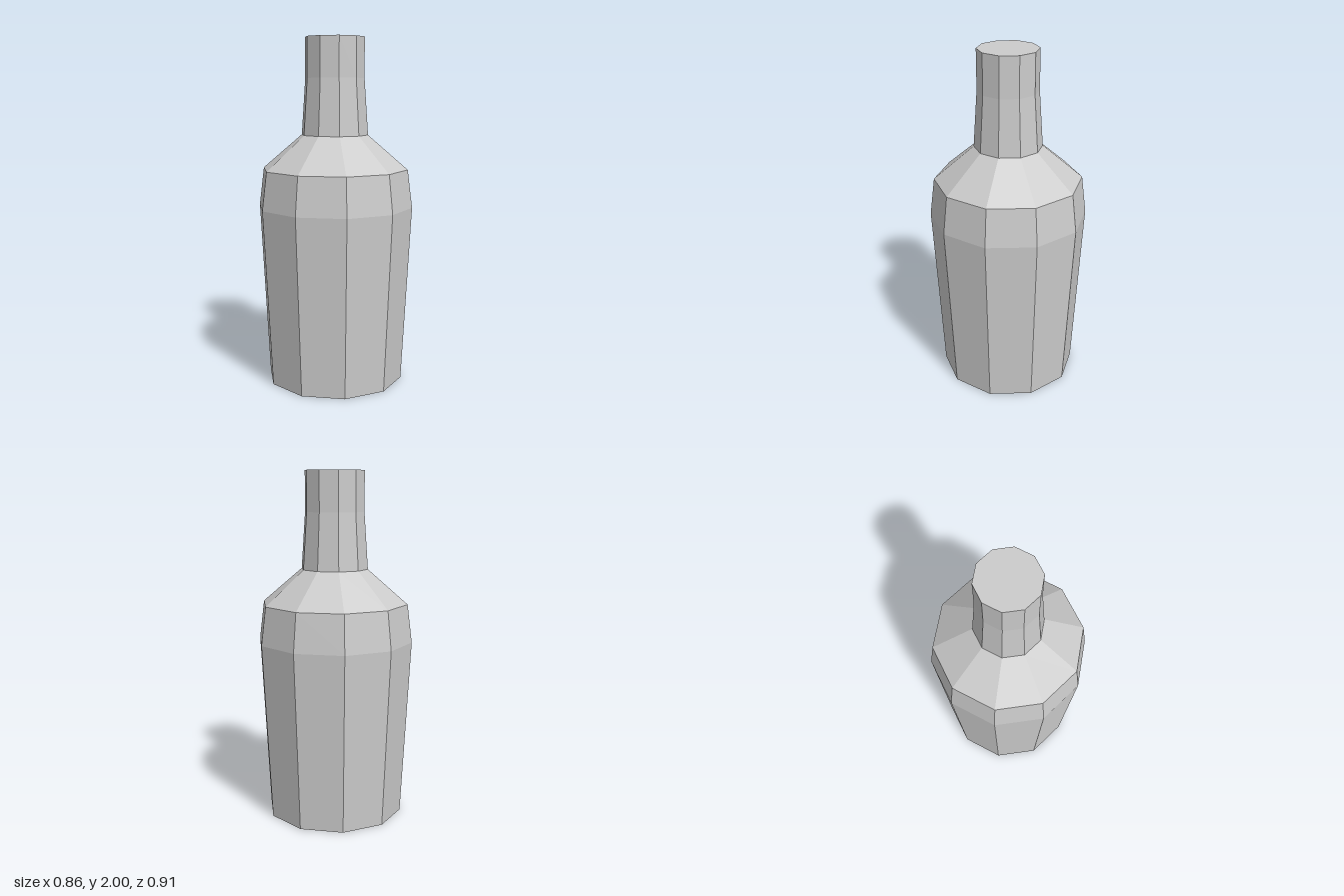
import * as THREE from 'three';

const SIDES = 10;

export function createModel() {
  const group = new THREE.Group();
  const material = new THREE.MeshStandardMaterial({ color: 0xcccccc, flatShading: true });

  // Faceted ring section from [radius, height] points, listed bottom to top
  function section(name, profile) {
    const points = profile.map(([r, y]) => new THREE.Vector2(r, y));
    const mesh = new THREE.Mesh(new THREE.LatheGeometry(points, SIDES), material);
    mesh.name = name;
    group.add(mesh);
  }

  // Flat ten-sided disc closing an end, with a corner facing the front
  function cap(name, radius, y, tilt) {
    const geometry = new THREE.CircleGeometry(radius, SIDES, Math.PI / 2);
    geometry.rotateX(tilt);
    const mesh = new THREE.Mesh(geometry, material);
    mesh.name = name;
    mesh.position.y = y;
    group.add(mesh);
  }

  // Bottle: tapered body, sloping shoulder, narrow neck
  section('body', [[0.4, 0], [0.453, 1.03], [0.425, 1.25]]);
  section('shoulder', [[0.425, 1.25], [0.194, 1.447]]);
  section('neck', [[0.194, 1.447], [0.172, 1.77], [0.172, 2]]);

  // Closed ends
  cap('base', 0.4, 0, Math.PI / 2);
  cap('top', 0.172, 2, -Math.PI / 2);

  return group;
}
